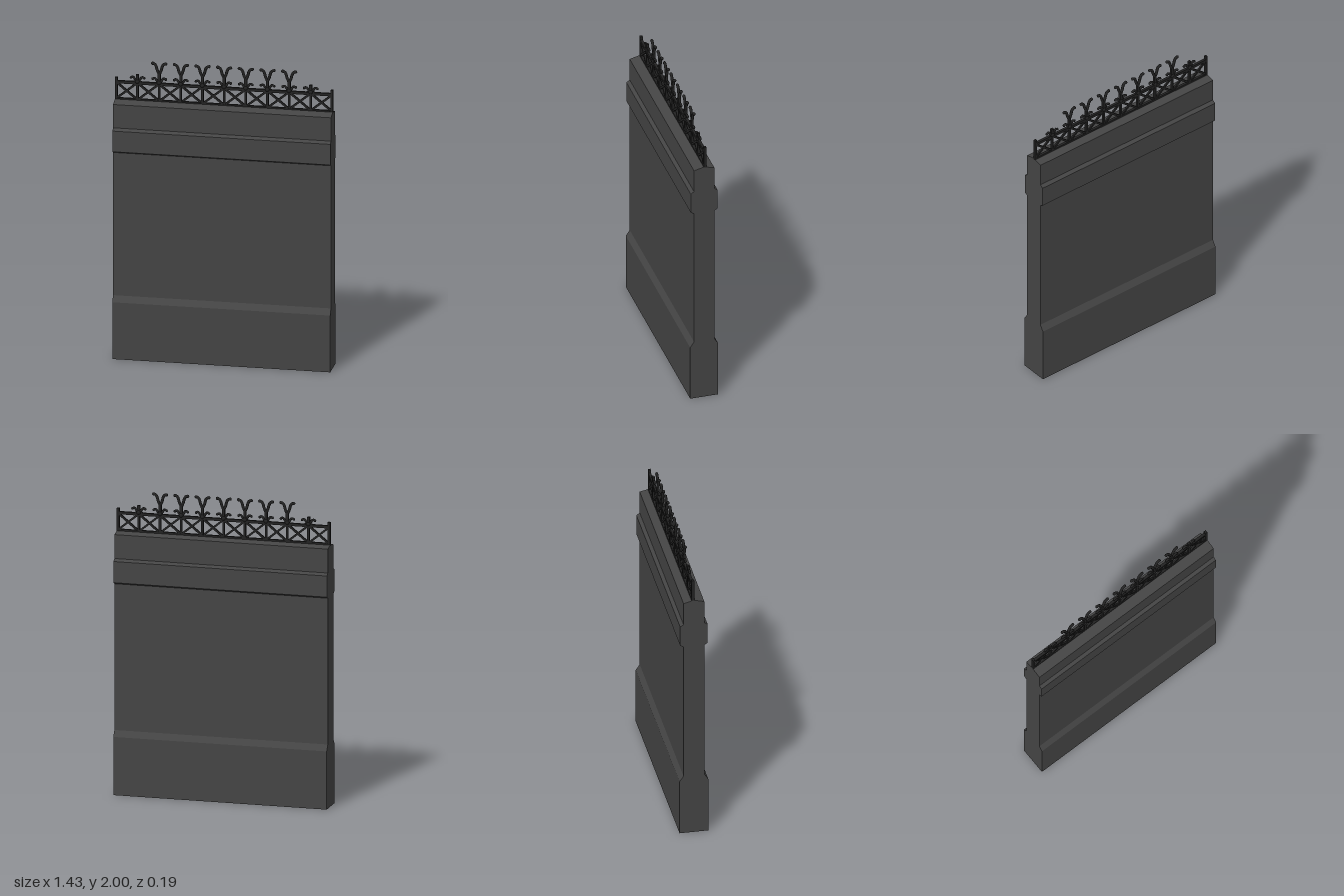
import * as THREE from 'three';

const HALF = 0.713, BAY = 0.1417, RAIL_Z = -0.006;
const LOW = 1.735, TOP = 1.85;
const stone = new THREE.MeshStandardMaterial({ color: 0x444444, flatShading: true });
const iron = new THREE.MeshStandardMaterial({ color: 0x222222 });

function add(parent, name, geometry, material = iron) {
  const mesh = new THREE.Mesh(geometry, material);
  mesh.name = name;
  parent.add(mesh);
  return mesh;
}

// Straight flat bar between two points in the railing plane
function bar(parent, name, x1, y1, x2, y2, w = 0.014, d = 0.014) {
  const m = add(parent, name, new THREE.BoxGeometry(w, Math.hypot(x2 - x1, y2 - y1), d));
  m.position.set((x1 + x2) / 2, (y1 + y2) / 2, 0);
  m.rotation.z = -Math.atan2(x2 - x1, y2 - y1);
}

// Curved iron scroll with a rounded knob at its tip
function scroll(parent, name, points, r) {
  const curve = new THREE.CatmullRomCurve3(points.map(([x, y]) => new THREE.Vector3(x, y, 0)));
  add(parent, name, new THREE.TubeGeometry(curve, 12, r, 8));
  const [x, y] = points[points.length - 1];
  add(parent, name + 'Tip', new THREE.SphereGeometry(r * 1.1, 8, 6)).position.set(x, y, 0);
}

// Wall: one half-profile mirrored in z, extruded along x
function wall() {
  const half = [[0.094, 0], [0.094, 0.385], [0.068, 0.425], [0.068, 1.393], [0.09, 1.405],
    [0.09, 1.545], [0.068, 1.56], [0.068, 1.718]];
  const outline = [...half, [0, 1.735], ...half.map(([z, y]) => [-z, y]).reverse()];
  const shape = new THREE.Shape(outline.map(([z, y]) => new THREE.Vector2(-z, y)));
  return new THREE.ExtrudeGeometry(shape, { depth: HALF * 2, bevelEnabled: false })
    .translate(0, 0, -HALF).rotateY(Math.PI / 2);
}

// Ornament above a railing post; tall ones carry a forked crest
function finial(tall) {
  const g = new THREE.Group();
  g.name = tall ? 'forkedFinial' : 'smallFinial';
  for (const s of [-1, 1]) {
    scroll(g, 'sideLeaf', [[0, TOP - 0.005], [s * 0.015, 1.872], [s * 0.03, 1.89], [s * 0.043, 1.884]], 0.008);
    if (tall) {
      scroll(g, 'forkArm', [[0, 1.915], [s * 0.013, 1.944], [s * 0.021, 1.972],
        [s * 0.031, 1.986], [s * 0.043, 1.989]], 0.0095);
    } else {
      scroll(g, 'lowerLeaf', [[0, TOP + 0.01], [s * 0.02, 1.858], [s * 0.04, 1.848]], 0.007);
    }
  }
  const h = tall ? 1.925 : 1.907;
  bar(g, 'stem', 0, TOP, 0, h, 0.018, 0.016);
  add(g, 'boss', new THREE.SphereGeometry(0.016, 10, 8)).position.y = TOP + 0.01;
  return g;
}

export function createModel() {
  const model = new THREE.Group();
  model.name = 'wallWithRailing';
  add(model, 'wall', wall(), stone);

  const railing = new THREE.Group();
  railing.name = 'railing';
  railing.position.z = RAIL_Z;
  model.add(railing);

  bar(railing, 'bottomRail', -HALF, LOW, HALF, LOW, 0.016, 0.018);
  bar(railing, 'topRail', -HALF, TOP, HALF, TOP, 0.018, 0.018);

  // Posts, finials and crossed braces of the ten bays
  for (let i = -5; i <= 5; i++) {
    const x = i * BAY;
    if (Math.abs(i) === 5) {
      bar(railing, 'endPost', Math.sign(i) * 0.705, 1.725, Math.sign(i) * 0.705, 1.882, 0.016, 0.018);
    } else {
      bar(railing, 'post', x, LOW, x, TOP, 0.014, 0.016);
      const f = finial(Math.abs(i) < 4);
      f.position.x = x;
      railing.add(f);
    }
    if (i < 5) {
      bar(railing, 'brace', x, LOW, x + BAY, TOP, 0.013, 0.012);
      bar(railing, 'brace', x, TOP, x + BAY, LOW, 0.013, 0.012);
    }
  }
  return model;
}
